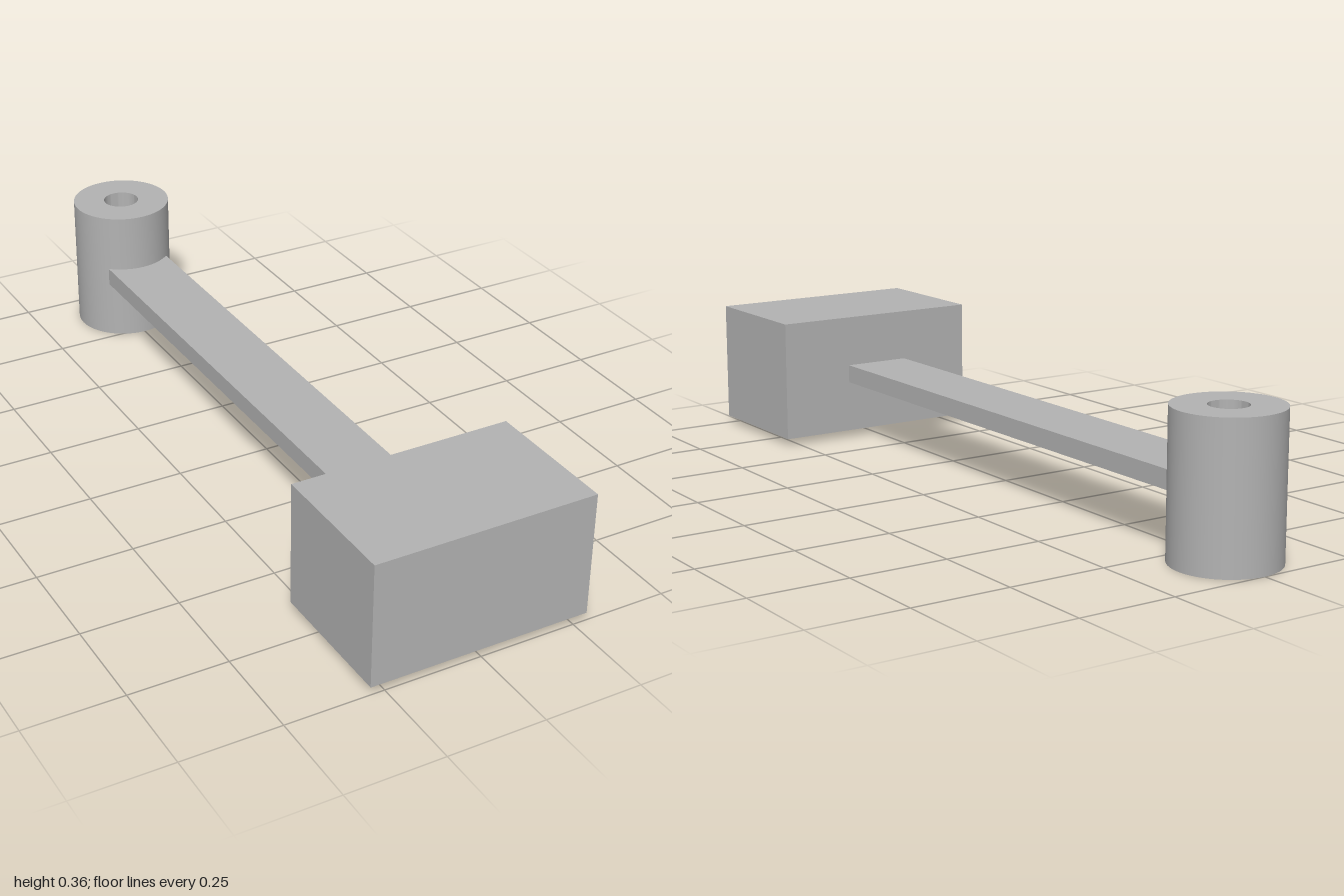
import * as THREE from 'three';
import { toCreasedNormals } from 'three/addons/utils/BufferGeometryUtils.js';

export function createModel() {
  const model = new THREE.Group();
  const grey = new THREE.MeshStandardMaterial({ color: 0xb3b3b3 });
  grey.name = 'plain grey';

  const add = (name, geometry, x, y, z) => {
    const mesh = new THREE.Mesh(geometry, grey);
    mesh.name = name;
    mesh.position.set(x, y, z);
    model.add(mesh);
  };

  // Solid block at the front end
  add('endBlock', new THREE.BoxGeometry(0.572, 0.32, 0.357), 0, 0.18, 0.8215);

  // Flat arm, ending inside the wall of the sleeve
  const armFront = 0.643, armBack = -0.78;
  add('arm', new THREE.BoxGeometry(0.179, 0.048, armFront - armBack), 0, 0.181, (armFront + armBack) / 2);

  // Upright sleeve with a through hole
  const outer = 0.133, bore = 0.048, height = 0.36;
  const profile = [[bore, 0], [outer, 0], [outer, height], [bore, height], [bore, 0]]
    .map(([r, y]) => new THREE.Vector2(r, y));
  add('pivotSleeve', toCreasedNormals(new THREE.LatheGeometry(profile, 64), 0.6), 0, 0, -0.867);

  return model;
}
